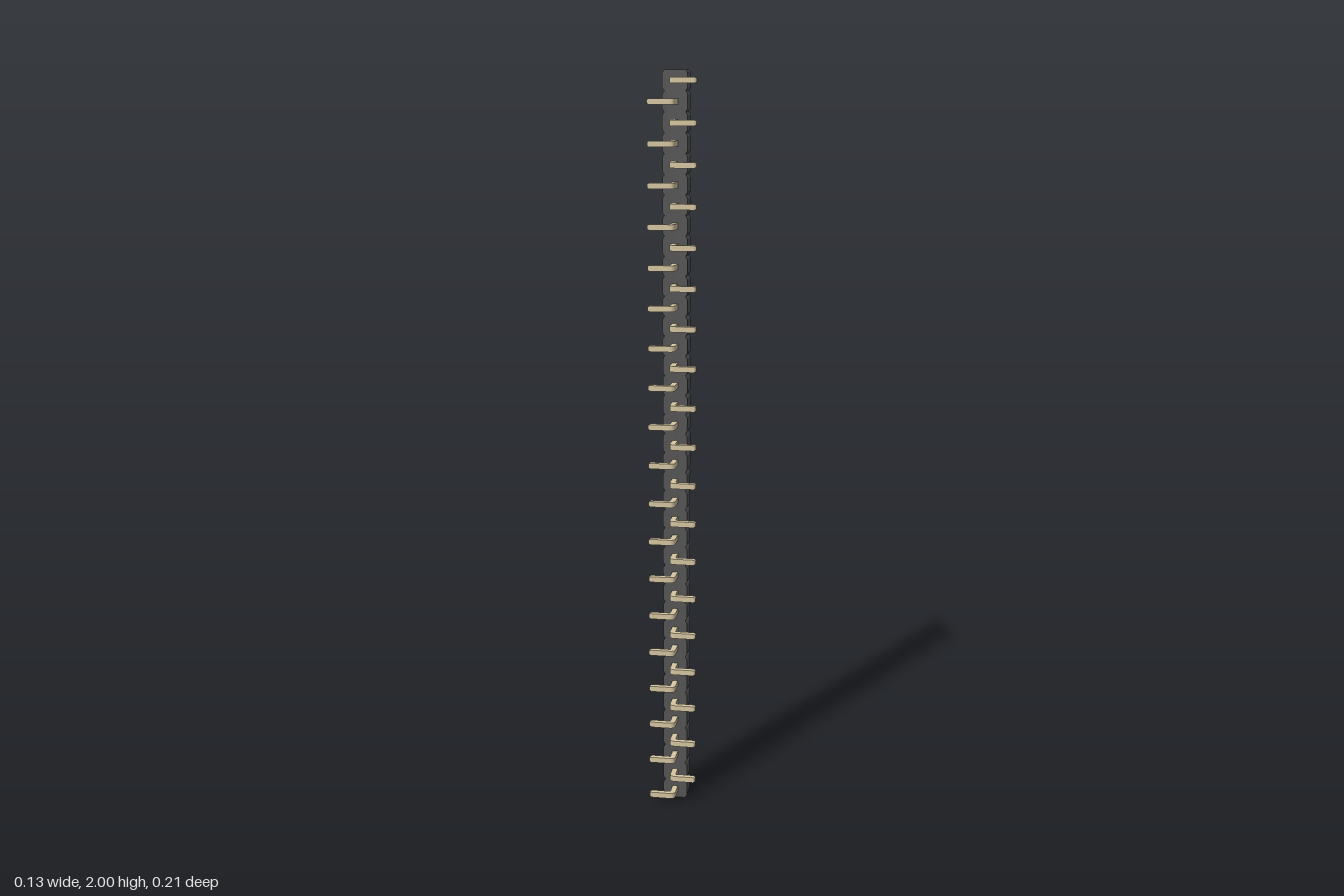
import * as THREE from 'three';
import { mergeGeometries } from 'three/addons/utils/BufferGeometryUtils.js';

const COUNT = 38, PITCH = 2 / COUNT;
const HALF = 0.033, CHAMFER_X = 0.005, CHAMFER_Y = 0.008; // housing section
const W = 0.015, TIP = 0.005;                             // pin width, tip length
const BACK = -0.105, FRONT = 0.104, REACH = 0.064;

// Housing: one strip whose sides are notched between neighbouring pins
function housingGeometry() {
  const right = [];
  for (let i = 0; i < COUNT; i++) {
    const y = i * PITCH;
    right.push([HALF - CHAMFER_X, y], [HALF, y + CHAMFER_Y], [HALF, y + PITCH - CHAMFER_Y]);
  }
  right.push([HALF - CHAMFER_X, 2]);
  const left = right.map(([x, y]) => [-x, y]).reverse();
  const shape = new THREE.Shape([...right, ...left].map(([x, y]) => new THREE.Vector2(x, y)));
  return new THREE.ExtrudeGeometry(shape, { depth: 0.052, bevelEnabled: false });
}

// Square tapered tip pointing along +y, base at the origin
function tipGeometry() {
  const g = new THREE.CylinderGeometry(W * 0.6 * Math.SQRT1_2, W * Math.SQRT1_2, TIP, 4);
  return g.rotateY(Math.PI / 4).translate(0, TIP / 2, 0);
}

// Bent pin: straight shaft along z, rounded elbow, foot towards side * x
function pinGeometry(side) {
  const h = W / 2, end = REACH - TIP;
  const shape = new THREE.Shape();
  shape.moveTo(-h * side, BACK + TIP);
  shape.lineTo(h * side, BACK + TIP);
  shape.lineTo(h * side, FRONT - W);
  shape.lineTo(end * side, FRONT - W);
  shape.lineTo(end * side, FRONT);
  shape.lineTo(h * side, FRONT);
  shape.quadraticCurveTo(-h * side, FRONT, -h * side, FRONT - W);
  shape.closePath();
  const bar = new THREE.ExtrudeGeometry(shape, { depth: W, bevelEnabled: false, curveSegments: 6 });
  bar.rotateX(Math.PI / 2).translate(0, h, 0);
  const backTip = tipGeometry().rotateX(-Math.PI / 2).translate(0, 0, BACK + TIP);
  const footTip = tipGeometry().rotateZ(-side * Math.PI / 2).translate(side * end, 0, FRONT - h);
  return mergeGeometries([bar, backTip, footTip].map(g => g.index ? g.toNonIndexed() : g));
}

export function createModel() {
  const model = new THREE.Group();
  model.name = 'pinHeader';
  const plastic = new THREE.MeshStandardMaterial({ color: 0x555555, flatShading: true });
  const metal = new THREE.MeshStandardMaterial({ color: 0xd6c6a2, flatShading: true });

  const housing = new THREE.Mesh(housingGeometry(), plastic);
  housing.name = 'housing';
  model.add(housing);

  // Pins, with feet alternating from side to side
  const pins = new THREE.Group();
  pins.name = 'pins';
  const rightPin = pinGeometry(-1), leftPin = pinGeometry(1);
  for (let i = 0; i < COUNT; i++) {
    const pin = new THREE.Mesh(i % 2 ? leftPin : rightPin, metal);
    pin.name = i % 2 ? 'leftPin' : 'rightPin';
    pin.position.y = (i + 0.5) * PITCH;
    pins.add(pin);
  }
  model.add(pins);
  return model;
}
